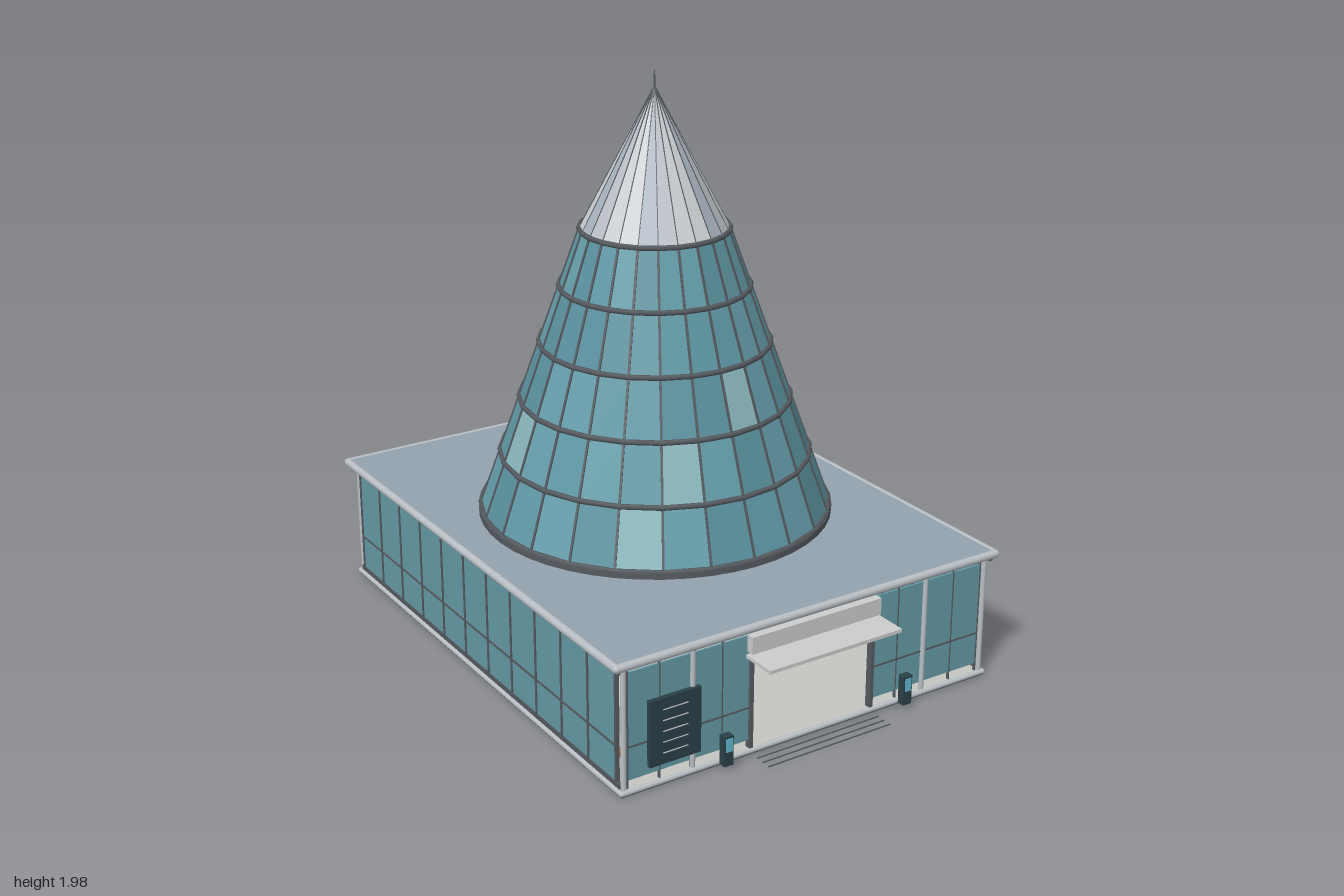
import * as THREE from 'three';
import { mergeGeometries } from 'three/addons/utils/BufferGeometryUtils.js';

const mat = (color, extra = {}) => new THREE.MeshStandardMaterial({ color, ...extra });
const M = {
  glass: mat(0x649aa6, { side: THREE.DoubleSide }),
  frame: mat(0x565b60),
  rail: mat(0xb9bfc4),
  roof: mat(0x93a2af),
  base: mat(0x484d53),
  floor: mat(0xc4c5c0),
  dark: mat(0x2b4047),
  light: mat(0xcccccc),
  screen: mat(0x5fb6cf),
  wood: mat(0xa9783f),
};
const CZ = -0.045;                       // centre of hall and tower along z
const X = 0.705, ZF = 0.87, ZB = -0.96;  // glass planes of the hall

const boxGeo = (x0, x1, y0, y1, z0, z1) =>
  new THREE.BoxGeometry(x1 - x0, y1 - y0, z1 - z0)
    .translate((x0 + x1) / 2, (y0 + y1) / 2, (z0 + z1) / 2);

// Square bar between two points
function barGeo(a, b, w) {
  const d = b.clone().sub(a);
  const g = new THREE.BoxGeometry(w, d.length(), w);
  const yaw = Math.atan2((a.x + b.x) / 2, (a.z + b.z) / 2);
  g.rotateY(Math.abs(d.y) > 0.01 ? yaw : 0);
  g.applyQuaternion(new THREE.Quaternion().setFromUnitVectors(new THREE.Vector3(0, 1, 0), d.normalize()));
  return g.translate((a.x + b.x) / 2, (a.y + b.y) / 2, (a.z + b.z) / 2);
}

function add(group, name, material, ...geos) {
  const mesh = new THREE.Mesh(geos.length > 1 ? mergeGeometries(geos) : geos[0], material);
  mesh.name = name;
  group.add(mesh);
  return mesh;
}

function buildTower() {
  const tower = new THREE.Group();
  tower.name = 'tower';
  tower.position.z = CZ;
  const N = 24, step = (Math.PI * 2) / N;
  const levels = [0.475, 0.67, 0.865, 1.06, 1.255, 1.45];
  const radius = (y) => 0.6 - ((y - 0.475) / 0.975) * 0.35;
  const polar = (r, y, t) => new THREE.Vector3(r * Math.sin(t), y, r * Math.cos(t));

  // Flat glass panels sorted into a few shades
  const shades = [[], [], [], []];
  const pale = new Set(['0:21', '1:22', '2:0', '0:5', '1:6', '0:13', '2:15', '3:10', '1:17', '4:8']);
  for (let row = 0; row < 5; row++) {
    for (let i = 0; i < N; i++) {
      const y0 = levels[row], y1 = levels[row + 1];
      const panel = new THREE.CylinderGeometry(radius(y1), radius(y0), y1 - y0, 1, 1, true, i * step, step);
      panel.translate(0, (y0 + y1) / 2, 0);
      shades[pale.has(row + ':' + i) ? 3 : (i * 7 + row * 5 + ((i * row) % 4)) % 3].push(panel);
    }
  }
  [0x5f99a6, 0x659fac, 0x5a929f, 0x8ab8bf].forEach((c, k) =>
    add(tower, 'towerGlass' + k, mat(c, { flatShading: true, side: THREE.DoubleSide }), ...shades[k]));

  // Horizontal rings and sloping ribs
  add(tower, 'towerRings', M.frame, ...levels.map((y) =>
    new THREE.TorusGeometry(radius(y) + 0.002, 0.009, 6, N).rotateX(Math.PI / 2).translate(0, y, 0)));
  const ribs = [], seams = [];
  for (let i = 0; i < N; i++) {
    ribs.push(barGeo(polar(0.6, 0.475, i * step), polar(0.25, 1.45, i * step), 0.008));
    seams.push(barGeo(polar(0.25, 1.45, i * step), polar(0.002, 1.92, i * step), 0.003));
  }
  add(tower, 'towerRibs', M.frame, ...ribs);
  add(tower, 'capSeams', M.frame, ...seams);

  // Metal cap in alternating sheets, with its spire
  const sheets = [[], [], []];
  for (let i = 0; i < N; i++) {
    sheets[(i * 5 + (i >> 2)) % 3].push(
      new THREE.CylinderGeometry(0.001, 0.25, 0.47, 1, 1, true, i * step, step).translate(0, 1.685, 0));
  }
  [0xcdd1d4, 0xbcc2c8, 0xaab4c0].forEach((c, k) =>
    add(tower, 'capSheets' + k, mat(c, { flatShading: true, side: THREE.DoubleSide }), ...sheets[k]));
  add(tower, 'spire', M.frame, new THREE.CylinderGeometry(0.002, 0.004, 0.07, 8).translate(0, 1.94, 0));
  add(tower, 'towerCurb', M.frame, new THREE.CylinderGeometry(0.61, 0.61, 0.025, 48).translate(0, 0.464, 0));
  return tower;
}

function buildHall() {
  const hall = new THREE.Group();
  hall.name = 'hall';
  add(hall, 'baseSlab', M.base, boxGeo(-0.715, 0.715, 0, 0.012, -0.97, 0.885));
  add(hall, 'floor', M.floor, boxGeo(-0.71, 0.71, 0.012, 0.018, -0.965, 0.88));
  add(hall, 'roofSlab', M.roof, boxGeo(-0.735, 0.735, 0.43, 0.455, -0.985, 0.895));

  // Rounded edging round the roof and the base
  const edging = (x, z0, z1, y, r) => {
    const corners = [[x, z1], [x, z0], [-x, z0], [-x, z1]].map(([a, b]) => new THREE.Vector3(a, y, b));
    return corners.flatMap((a, i) => [
      new THREE.TubeGeometry(new THREE.LineCurve3(a, corners[(i + 1) % 4]), 1, r, 10),
      new THREE.SphereGeometry(r, 10, 8).translate(a.x, a.y, a.z)]);
  };
  add(hall, 'roofEdging', M.rail, ...edging(0.732, -0.982, 0.89, 0.444, 0.014));
  add(hall, 'baseEdging', M.rail, ...edging(0.712, -0.967, 0.882, 0.011, 0.009));
  add(hall, 'eavesBeam', M.frame,
    ...[-1, 1].map((s) => boxGeo(s * 0.72 - 0.006, s * 0.72 + 0.006, 0.418, 0.432, -0.97, 0.885)),
    ...[ZF, ZB].map((z) => boxGeo(-0.72, 0.72, 0.418, 0.432, z - 0.006, z + 0.006)));

  // Glass walls; the front leaves the doorway open
  add(hall, 'wallGlass', M.glass,
    ...[-X, X].map((x) => boxGeo(x - 0.003, x + 0.003, 0.035, 0.405, -0.935, 0.845)),
    boxGeo(-0.685, 0.685, 0.045, 0.41, ZB - 0.003, ZB + 0.003),
    ...[-1, 1].map((s) => boxGeo(s * 0.4625 - 0.2225, s * 0.4625 + 0.2225, 0.045, 0.41, ZF - 0.003, ZF + 0.003)),
    boxGeo(-0.24, 0.24, 0.345, 0.41, ZF - 0.003, ZF + 0.003));

  // Corner and intermediate posts
  const posts = [];
  for (const s of [-1, 1]) {
    for (const z of [ZF, ZB]) {
      for (const x of [0.7, 0.452]) {
        posts.push(new THREE.CylinderGeometry(0.009, 0.009, 0.415, 12)
          .translate(s * x, 0.223, z + (z > 0 ? 0.004 : -0.004)));
      }
    }
  }
  add(hall, 'posts', M.rail, ...posts);

  // Mullions, transoms and sills
  const bars = [];
  for (const x of [-X, X]) {
    for (let i = 0; i <= 11; i++) {
      const z = 0.845 - i * 0.1618;
      bars.push(boxGeo(x - 0.007, x + 0.007, 0.015, 0.42, z - 0.004, z + 0.004));
    }
    bars.push(boxGeo(x - 0.006, x + 0.006, 0.156, 0.163, -0.935, 0.845));
    bars.push(boxGeo(x - 0.006, x + 0.006, 0.015, 0.037, -0.955, 0.865));
  }
  for (let i = 0; i <= 12; i++) {
    const x = -0.685 + i * 0.1142;
    bars.push(boxGeo(x - 0.002, x + 0.002, 0.015, 0.42, ZB - 0.006, ZB + 0.006));
    if (Math.abs(x) > 0.25) bars.push(boxGeo(x - 0.002, x + 0.002, 0.015, 0.42, ZF - 0.005, ZF + 0.005));
  }
  bars.push(boxGeo(-0.685, 0.685, 0.156, 0.162, ZB - 0.006, ZB + 0.006));
  for (const s of [-1, 1]) {
    bars.push(boxGeo(s * 0.4625 - 0.2225, s * 0.4625 + 0.2225, 0.156, 0.162, ZF - 0.005, ZF + 0.005));
  }
  add(hall, 'mullions', M.frame, ...bars);

  // Low benches behind the front glass
  add(hall, 'bench', M.wood, boxGeo(-0.61, -0.38, 0.018, 0.036, 0.68, 0.76));
  return hall;
}

function buildEntrance() {
  const entrance = new THREE.Group();
  entrance.name = 'entrance';
  add(entrance, 'canopy', M.light, boxGeo(-0.255, 0.255, 0.336, 0.348, 0.83, 1.0));
  add(entrance, 'signPanel', M.light, boxGeo(-0.25, 0.25, 0.357, 0.415, 0.872, 0.9));
  add(entrance, 'doorFrame', M.frame,
    ...[-1, 1].map((s) => boxGeo(s * 0.237 - 0.006, s * 0.237 + 0.006, 0.015, 0.34, 0.86, 0.884)),
    boxGeo(-0.24, 0.24, 0.325, 0.337, 0.86, 0.884));
  add(entrance, 'groundStrips', M.frame,
    ...[0.92, 0.95, 0.98].map((z) => boxGeo(-0.24, 0.24, 0.001, 0.004, z - 0.002, z + 0.002)));

  // Notice board with plain line markings
  add(entrance, 'noticeBoard', M.dark, boxGeo(-0.617, -0.432, 0.075, 0.3, 0.876, 0.892));
  add(entrance, 'noticeLines', M.light,
    ...[0, 1, 2, 3, 4].map((i) => boxGeo(-0.57, -0.48, 0.112 + i * 0.037, 0.115 + i * 0.037, 0.891, 0.894)));

  // Pair of small kiosks
  for (const s of [-1, 1]) {
    const kiosk = new THREE.Group();
    kiosk.name = s > 0 ? 'leftKiosk' : 'rightKiosk';
    kiosk.position.x = s * 0.352;
    add(kiosk, 'kioskBody', M.dark, boxGeo(-0.017, 0.017, 0.015, 0.118, 0.9, 0.927));
    add(kiosk, 'kioskScreen', M.screen, boxGeo(-0.012, 0.012, 0.065, 0.11, 0.926, 0.93));
    entrance.add(kiosk);
  }
  return entrance;
}

export function createModel() {
  const model = new THREE.Group();
  model.name = 'pavilionWithGlassTower';
  model.add(buildHall(), buildTower(), buildEntrance());
  return model;
}
